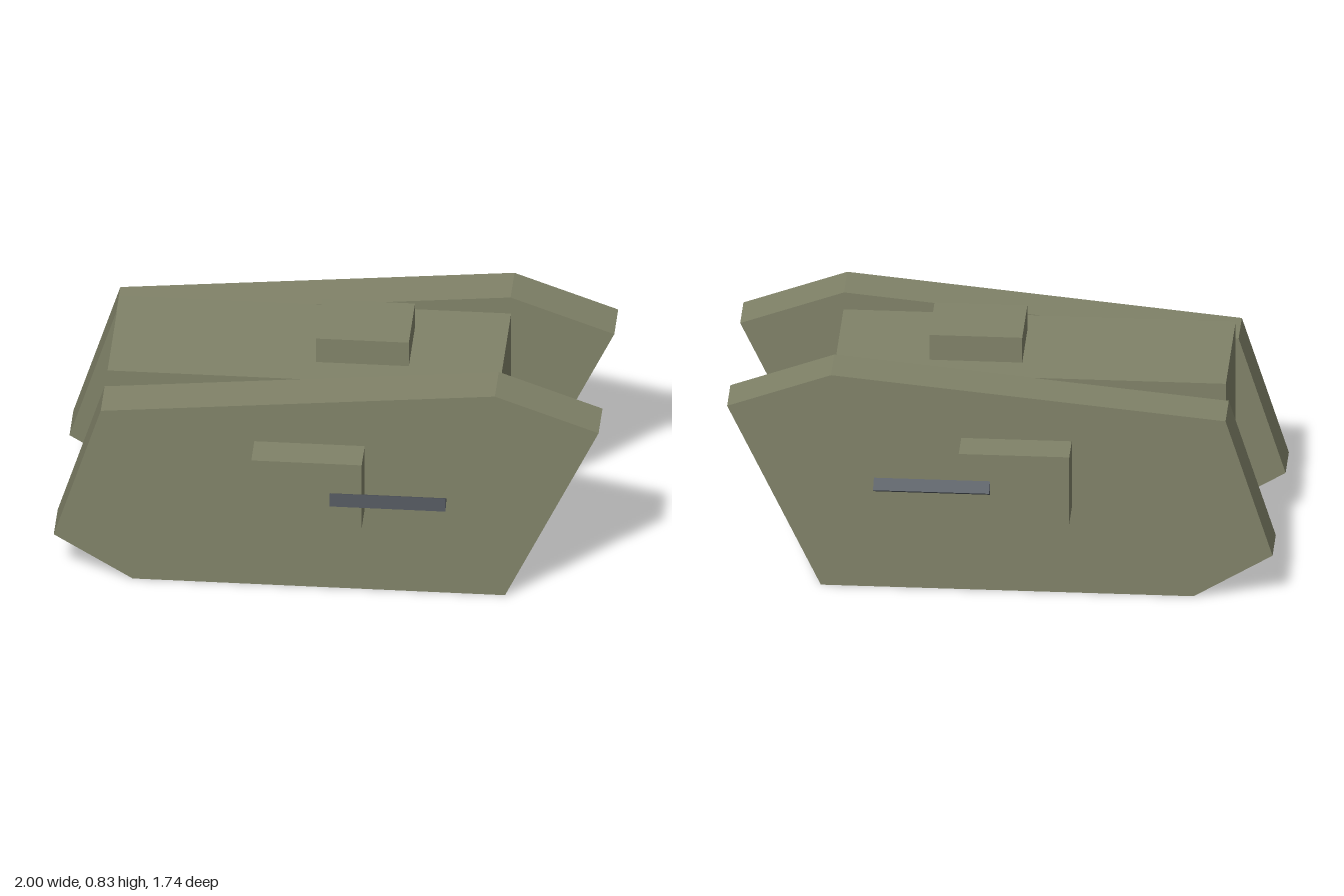
import * as THREE from 'three';

export function createModel() {
  const olive = new THREE.MeshStandardMaterial({ color: 0x808268, flatShading: true });
  olive.name = 'olive drab';
  const steel = new THREE.MeshStandardMaterial({ color: 0x565b62, flatShading: true });
  steel.name = 'gun steel';

  // The vehicle is built along its own x axis, then turned as a whole
  const tank = new THREE.Group();
  tank.name = 'tank';
  tank.rotation.y = -0.612;

  const add = (name, geometry, material, x = 0, y = 0, z = 0) => {
    const mesh = new THREE.Mesh(geometry, material);
    mesh.name = name;
    mesh.position.set(x, y, z);
    tank.add(mesh);
  };
  // Box given by its ranges along each axis
  const box = (name, x0, x1, y0, y1, z0, z1) => add(
    name, new THREE.BoxGeometry(x1 - x0, y1 - y0, z1 - z0), olive,
    (x0 + x1) / 2, (y0 + y1) / 2, (z0 + z1) / 2);

  box('hull', -0.77, 0.582, 0.23, 0.74, -0.242, 0.242);
  box('cupola', -0.06, 0.26, 0.72, 0.835, -0.127, 0.127);

  // Track frame outline, seen from the side
  const outline = new THREE.Shape([
    [-0.67, 0], [0.615, 0], [0.938, 0.675], [0.58, 0.805], [-0.78, 0.675], [-0.942, 0.165],
  ].map(([x, y]) => new THREE.Vector2(x, y)));
  const track = new THREE.ExtrudeGeometry(outline, { depth: 0.16, bevelEnabled: false });
  track.translate(0, 0, -0.08);

  // Three-sided gun barrel lying along x, with its ridge towards -z
  const barrel = new THREE.CylinderGeometry(0.03, 0.03, 0.4, 3);
  barrel.rotateY(Math.PI).rotateZ(-Math.PI / 2);

  for (const [side, s] of [['left', -1], ['right', 1]]) {
    add(side + 'Track', track, olive, 0, 0, s * 0.321);
    box(side + 'Sponson', -0.25, 0.131, 0.325, 0.58,
      s < 0 ? -0.526 : 0.36, s < 0 ? -0.36 : 0.526);
    add(side + 'Gun', barrel, steel, 0.223, 0.455, s * 0.545);
  }

  const model = new THREE.Group();
  model.name = 'model';
  model.add(tank);
  return model;
}
